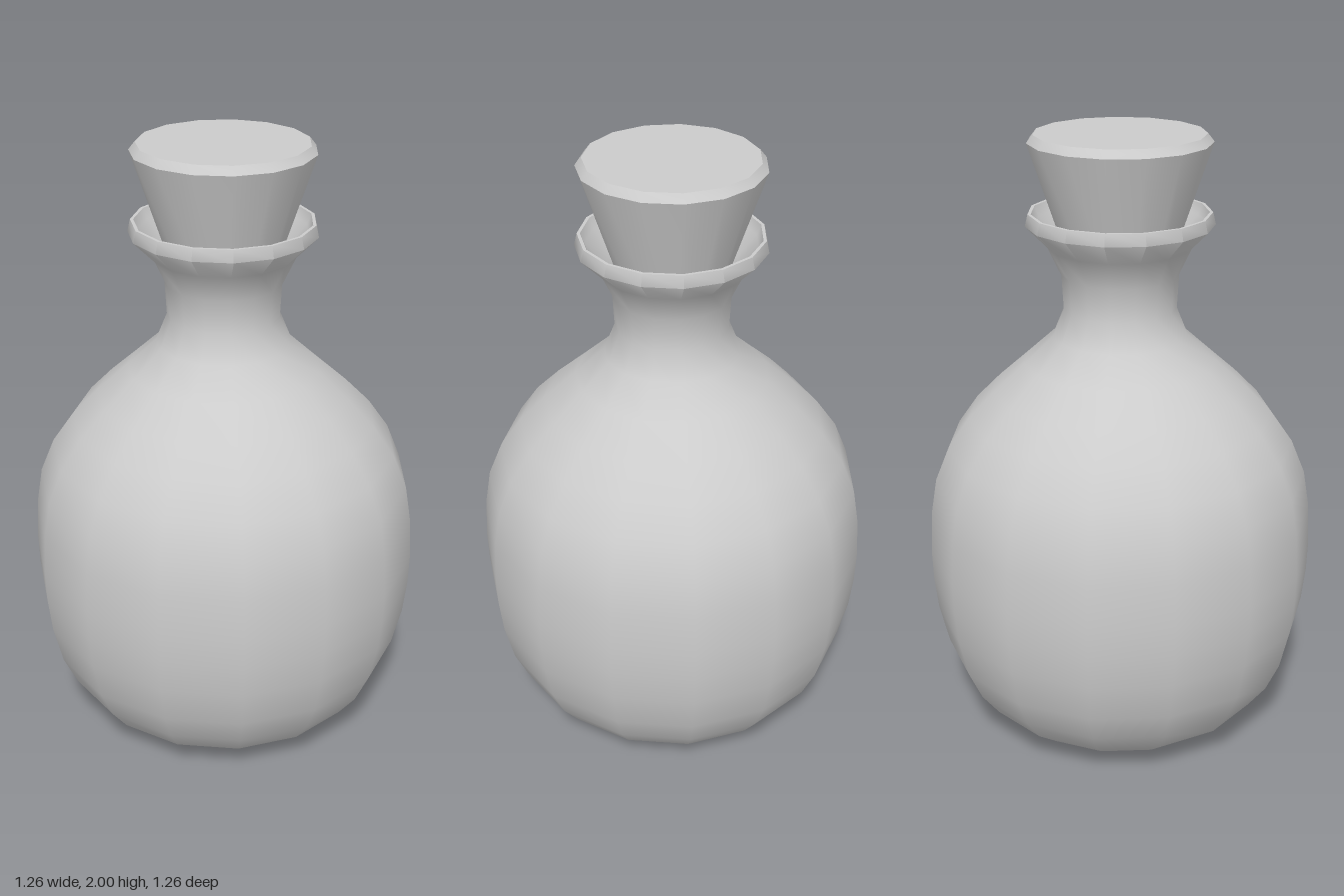
import * as THREE from 'three';
import { toCreasedNormals } from 'three/addons/utils/BufferGeometryUtils.js';

const SIDES = 15;
const material = new THREE.MeshStandardMaterial({ color: 0xcccccc });

// Revolve a [radius, height] profile, keeping only strong edges sharp.
function turned(name, profile, crease) {
  const points = profile.map(([r, y]) => new THREE.Vector2(r, y));
  const geometry = toCreasedNormals(new THREE.LatheGeometry(points, SIDES), crease);
  const mesh = new THREE.Mesh(geometry, material);
  mesh.name = name;
  return mesh;
}

export function createModel() {
  const model = new THREE.Group();
  model.name = 'stopperedBottle';

  // Round body, pinched neck, flared lip and the inside of the mouth
  model.add(turned('bottle', [
    [0, 0], [0.305, 0], [0.395, 0.04], [0.485, 0.11], [0.545, 0.19],
    [0.59, 0.29], [0.62, 0.42], [0.632, 0.53], [0.635, 0.63], [0.628, 0.77],
    [0.608, 0.89], [0.563, 1.0], [0.493, 1.1], [0.41, 1.185], [0.31, 1.275],
    [0.217, 1.36], [0.18, 1.45], [0.186, 1.56], [0.228, 1.65],
    [0.297, 1.72], [0.288, 1.758], [0.278, 1.758],
    [0.265, 1.725], [0.205, 1.66], [0.165, 1.58], [0.155, 1.46],
  ], 1.0));

  // Tapered stopper with a bevelled top edge, seated in the mouth
  model.add(turned('stopper', [
    [0, 1.55], [0.145, 1.55], [0.287, 1.975], [0.267, 2], [0, 2],
  ], 0.6));

  // An odd number of sides reaches further forward than back, so recentre
  model.position.z = -0.007;
  return model;
}
